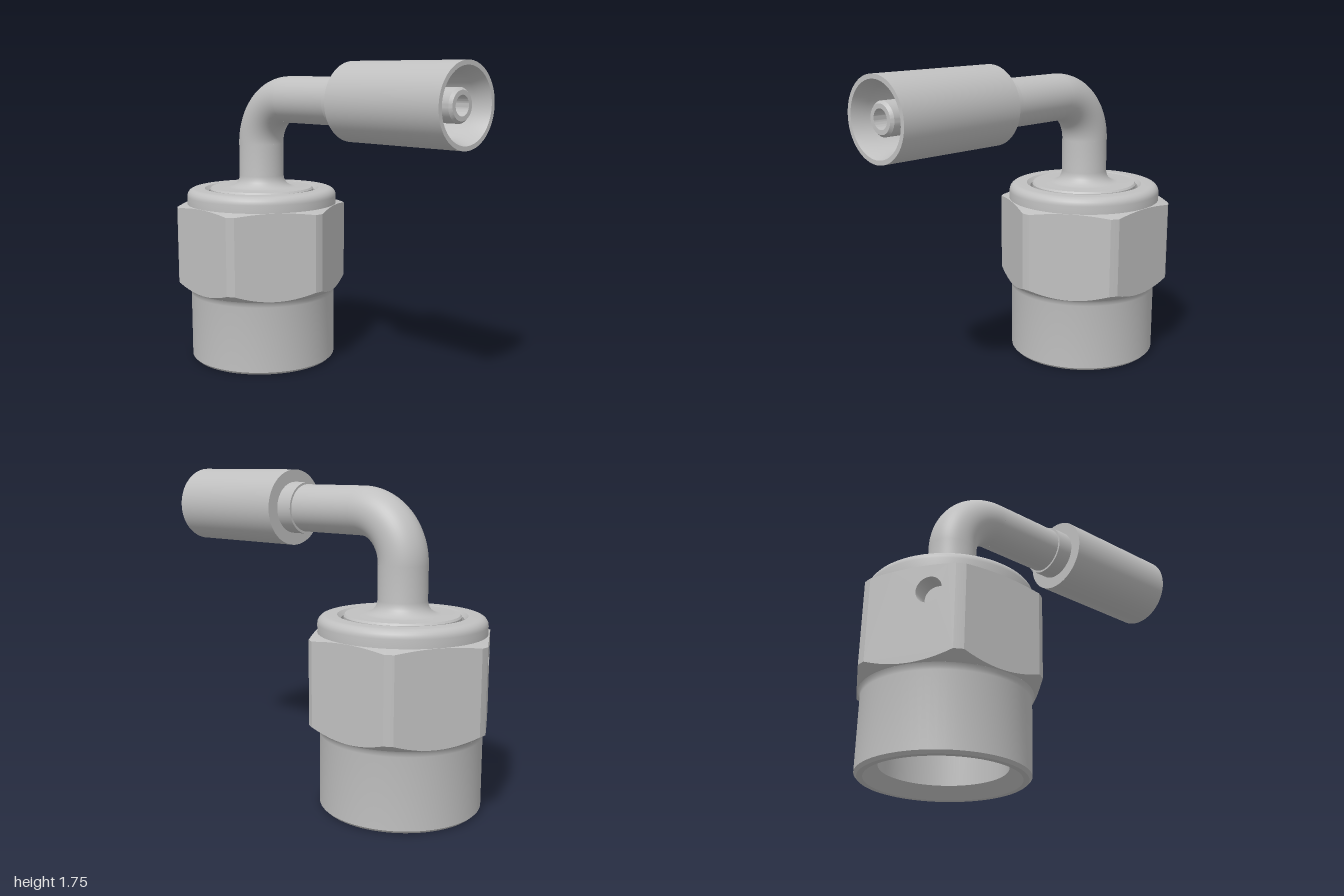
import * as THREE from 'three';
import { toCreasedNormals } from 'three/addons/utils/BufferGeometryUtils.js';

const AXIS_X = -0.5;      // vertical axis of the nut
const TUBE_Y = 1.542;     // horizontal axis of the hose end
const FLAT = 0.445;       // hexagon: centre to flat
const CORNER = 0.5;       // hexagon: centre to turned corner
const HALF = Math.acos(FLAT / CORNER); // half angle covered by one flat
const STEPS = 12;

// Height of the turned chamfers where they meet the hexagon at radius r
const lowEdge = r => 0.43 + (r - FLAT) * 0.72;
const highEdge = r => 0.93 - (r - FLAT) * 0.3;

export function createModel() {
  const model = new THREE.Group();
  model.name = 'elbowHoseFitting';
  const metal = new THREE.MeshStandardMaterial({ color: 0xc0c0c0, side: THREE.DoubleSide });
  metal.name = 'grey metal';

  const add = (name, geometry, parent = model) => {
    const mesh = new THREE.Mesh(geometry, metal);
    mesh.name = name;
    parent.add(mesh);
    return mesh;
  };
  const turned = (points, segments = 72) => toCreasedNormals(
    new THREE.LatheGeometry(points.map(p => new THREE.Vector2(...p)), segments), 0.5);
  // Points of a rounded corner in a profile
  const arc = (cx, cy, r, from, to, n = 6) => Array.from({ length: n + 1 }, (_, i) => {
    const a = THREE.MathUtils.degToRad(from + (to - from) * i / n);
    return [cx + r * Math.cos(a), cy + r * Math.sin(a)];
  });

  // Nut: rounded collar, open bore and lower cylinder in one profile
  const nut = new THREE.Group();
  nut.name = 'nut';
  nut.position.x = AXIS_X;
  model.add(nut);
  add('nutBody', turned([
    [0.44, 0.93], ...arc(0.395, 0.975, 0.045, 0, 90),
    [0.337, 1.02], [0.317, 1.0], [0.317, 0.06], [0.385, 0],
    [0.413, 0], [0.428, 0.015], [0.428, 0.395], [0.431, 0.413], [0.44, 0.427],
  ]), nut);

  // Hexagon flats with scalloped edges; one has a small drilled hole
  const hole = { x: 0.09, y: 0.795, r: 0.068, depth: 0.1 };
  const flatGeometry = drilled => {
    const low = [], high = [];
    for (let i = 0; i <= STEPS; i++) {
      const d = HALF * (2 * i / STEPS - 1);
      const u = FLAT * Math.tan(d), r = FLAT / Math.cos(d);
      low.push(new THREE.Vector2(u, lowEdge(r)));
      high.unshift(new THREE.Vector2(u, highEdge(r)));
    }
    const shape = new THREE.Shape([...low, ...high]);
    if (drilled) shape.holes.push(new THREE.Path().absarc(hole.x, hole.y, hole.r, 0, Math.PI * 2, true));
    return new THREE.ShapeGeometry(shape, 24);
  };
  for (let i = 0; i < 6; i++) {
    const side = new THREE.Group();
    side.name = 'hexSide';
    side.rotation.y = i * Math.PI / 3;
    nut.add(side);
    const drilled = i === 5;
    add('hexFlat', flatGeometry(drilled), side).position.z = FLAT;

    // Turned strip at the hexagon corner
    const y0 = lowEdge(CORNER), y1 = highEdge(CORNER);
    add('hexCorner', new THREE.CylinderGeometry(CORNER, CORNER, y1 - y0, 2, 1, true,
      HALF, Math.PI / 3 - 2 * HALF), side).position.y = (y0 + y1) / 2;

    if (drilled) {
      const wall = new THREE.CylinderGeometry(hole.r, hole.r, hole.depth, 48, 1, true).rotateX(Math.PI / 2);
      add('holeWall', wall, side).position.set(hole.x, hole.y, FLAT - hole.depth / 2);
      add('holeFloor', new THREE.CircleGeometry(hole.r, 48), side)
        .position.set(hole.x, hole.y, FLAT - hole.depth);
    }
  }

  // Conical chamfers joining the hexagon to the round body
  const chamfer = (edge, innerY, up) => {
    const angles = [];
    for (let s = 0; s < 6; s++) {
      for (let i = 0; i <= STEPS; i++) angles.push([s * Math.PI / 3, HALF * (2 * i / STEPS - 1)]);
    }
    const ring = angles.map(([base, d]) => {
      const r = FLAT / Math.cos(d), sx = Math.sin(base + d), cz = Math.cos(base + d);
      return { out: [r * sx, edge(r), r * cz], inn: [0.44 * sx, innerY, 0.44 * cz] };
    });
    const position = [];
    ring.forEach((a, i) => {
      const b = ring[(i + 1) % ring.length];
      const tris = up ? [a.out, b.out, b.inn, a.out, b.inn, a.inn]
        : [b.out, a.out, b.inn, b.inn, a.out, a.inn];
      tris.forEach(p => position.push(...p));
    });
    const geometry = new THREE.BufferGeometry();
    geometry.setAttribute('position', new THREE.Float32BufferAttribute(position, 3));
    geometry.computeVertexNormals();
    return toCreasedNormals(geometry, 0.5);
  };
  add('hexTopChamfer', chamfer(highEdge, 0.93, true), nut);
  add('hexBottomChamfer', chamfer(lowEdge, 0.427, false), nut);

  // Swivel tail: flange inside the nut, flared neck and through bore
  add('tail', turned([
    [0.05, 1.28], [0.05, 0.6], [0.2, 0.6], [0.305, 0.72], [0.305, 1.015], [0.297, 1.025],
    [0.2, 1.025], ...arc(0.2, 1.095, 0.07, 270, 180), [0.13, 1.28],
  ])).position.x = AXIS_X;

  // Quarter bend, outside and bore
  for (const [name, r] of [['elbow', 0.13], ['elbowBore', 0.05]]) {
    const bend = add(name, new THREE.TorusGeometry(TUBE_Y - 1.28, r, 48, 32, Math.PI / 2));
    bend.position.set(AXIS_X + TUBE_Y - 1.28, 1.28, 0);
    bend.rotation.z = Math.PI / 2;
  }

  // Parts turned about the horizontal axis: [radius, x]
  const horizontal = (name, points) => {
    const mesh = add(name, turned(points));
    mesh.rotation.z = -Math.PI / 2;
    mesh.position.y = TUBE_Y;
  };
  const bendEnd = AXIS_X + TUBE_Y - 1.28;
  horizontal('straightTube', [[0.13, bendEnd], [0.13, 0.165]]);
  horizontal('tubeCollar', [[0.13, 0.165], [0.142, 0.165], [0.142, 0.262]]);
  horizontal('crimpSleeve', [
    [0.142, 0.26], [0.21, 0.26], [0.21, 1], [0.187, 1], [0.16, 0.92], [0.16, 0.4], [0.08, 0.4],
  ]);
  horizontal('hoseNipple', [
    [0.085, 0.4], [0.085, 0.955], [0.073, 0.97], [0.05, 0.97], [0.05, bendEnd],
  ]);

  return model;
}
